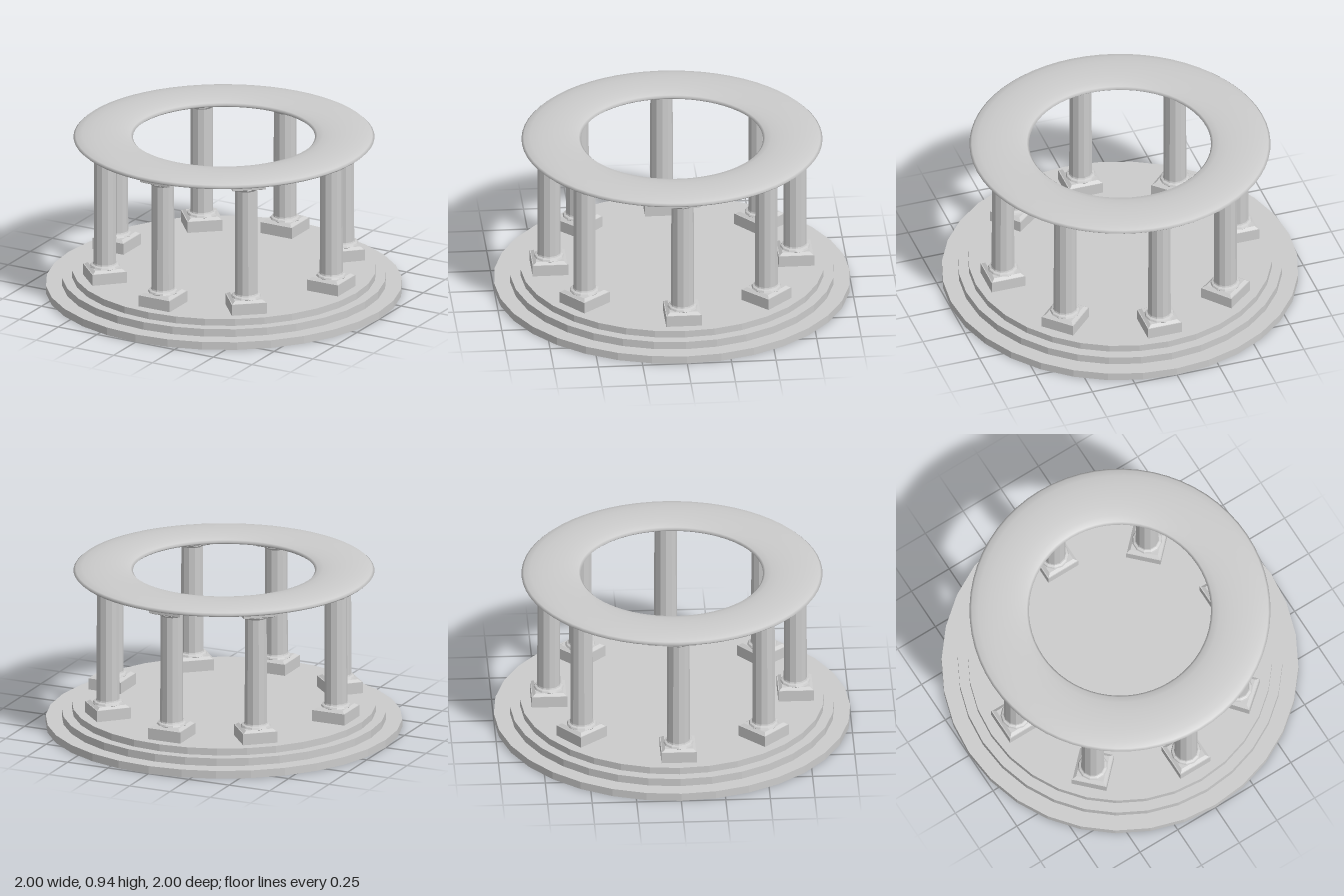
import * as THREE from 'three';

const stone = new THREE.MeshStandardMaterial({ color: 0xcccccc });
stone.name = 'stone';
const facetedStone = stone.clone();
facetedStone.name = 'faceted stone';
facetedStone.flatShading = true;

function add(parent, name, geometry, y, material = facetedStone) {
  const mesh = new THREE.Mesh(geometry, material);
  mesh.name = name;
  mesh.position.y = y;
  parent.add(mesh);
  return mesh;
}

// Square frustum with its sides parallel to x and z
function squareTaper(topHalf, bottomHalf, height) {
  return new THREE.CylinderGeometry(topHalf * Math.SQRT2, bottomHalf * Math.SQRT2, height, 4)
    .rotateY(Math.PI / 4);
}

function createColumn() {
  const column = new THREE.Group();
  column.name = 'column';

  // Square base
  add(column, 'plinth', new THREE.BoxGeometry(0.2, 0.065, 0.2), 0.1625);
  add(column, 'plinthBevel', squareTaper(0.078, 0.095, 0.013), 0.2015);

  // Round shaft with flared foot and neck
  const profile = [
    [0.08, 0.2], [0.085, 0.208], [0.08, 0.217], [0.068, 0.222], [0.065, 0.23],
    [0.063, 0.845], [0.067, 0.851], [0.077, 0.854], [0.08, 0.859], [0.076, 0.866],
  ].map(([r, y]) => new THREE.Vector2(r, y));
  add(column, 'shaft', new THREE.LatheGeometry(profile, 12), 0);

  // Square capital
  add(column, 'capitalBevel', squareTaper(0.093, 0.078, 0.008), 0.866);
  add(column, 'abacus', new THREE.BoxGeometry(0.19, 0.014, 0.19), 0.877);
  return column;
}

export function createModel() {
  const model = new THREE.Group();
  model.name = 'roundColonnade';

  // Three stacked round steps
  [[1, 0, 0.045], [0.91, 0.045, 0.09], [0.853, 0.09, 0.13]].forEach(([radius, low, high], i) => {
    add(model, `step${i + 1}`, new THREE.CylinderGeometry(radius, radius, high - low, 32), (low + high) / 2);
  });

  // Ring of columns, each turned to face outward
  [0, 40, 90, 135, 180, 220, 270, 315].forEach((degrees) => {
    const angle = THREE.MathUtils.degToRad(degrees);
    const column = createColumn();
    column.position.set(Math.sin(angle) * 0.692, 0, Math.cos(angle) * 0.692);
    column.rotation.y = angle;
    model.add(column);
  });

  // Flattened ring resting on the capitals
  const ring = new THREE.TorusGeometry(0.677, 0.167, 16, 64).rotateX(Math.PI / 2).scale(1, 0.18, 1);
  add(model, 'roofRing', ring, 0.909, stone);
  return model;
}
